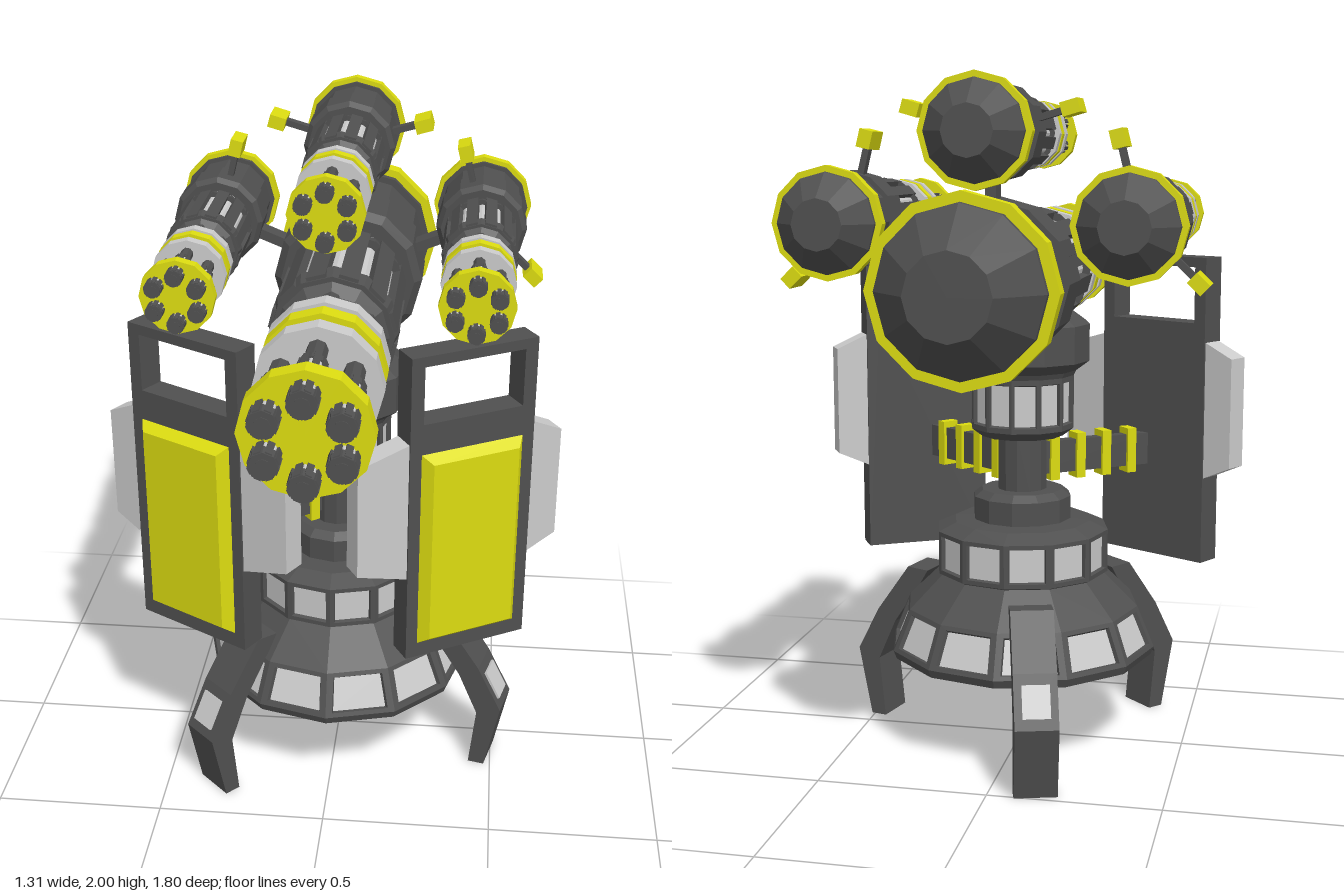
import * as THREE from 'three';

const mat = (color) => new THREE.MeshStandardMaterial({ color, flatShading: true });
const DARK = mat(0x505050), LIGHT = mat(0xcccccc), YELLOW = mat(0xdcdc10);
const RAD = Math.PI / 180;

function add(parent, name, geometry, material, x = 0, y = 0, z = 0) {
  const mesh = new THREE.Mesh(geometry, material);
  mesh.name = name;
  mesh.position.set(x, y, z);
  parent.add(mesh);
  return mesh;
}

function group(parent, name) {
  const g = new THREE.Group();
  g.name = name;
  parent.add(g);
  return g;
}

const box = (w, h, d) => new THREE.BoxGeometry(w, h, d);

// Frustum along z: radius r0 at z0 (rear) to r1 at z1 (front)
const drum = (r0, z0, r1, z1, n = 12) =>
  new THREE.CylinderGeometry(r1, r0, z1 - z0, n).rotateX(Math.PI / 2).translate(0, 0, (z0 + z1) / 2);

// Upright faceted solid from [radius, y] points
const turned = (pts, n = 12) => new THREE.LatheGeometry(pts.map(([r, y]) => new THREE.Vector2(r, y)), n);

function extrude(pts, depth) {
  const shape = new THREE.Shape(pts.map(([x, y]) => new THREE.Vector2(x, y)));
  return new THREE.ExtrudeGeometry(shape, { depth, bevelEnabled: false }).translate(0, 0, -depth / 2);
}

// Band of framed, recessed windows, one on each facet of a frustum
function windowBand(parent, name, r0, y0, r1, y1, n = 12) {
  const frame = [], glass = [];
  const quad = (out, a, b, c, d) => [a, b, c, a, c, d].forEach((p) => out.push(p.x, p.y, p.z));
  for (let i = 0; i < n; i++) {
    const at = (r, y, k) => new THREE.Vector3(r * Math.sin(k * 2 * Math.PI / n), y, r * Math.cos(k * 2 * Math.PI / n));
    const outer = [at(r0, y0, i), at(r0, y0, i + 1), at(r1, y1, i + 1), at(r1, y1, i)];
    const mid = outer.reduce((s, p) => s.add(p), new THREE.Vector3()).multiplyScalar(0.25);
    const inward = outer[1].clone().sub(outer[0]).cross(outer[3].clone().sub(outer[0])).setLength(-0.012);
    const inner = outer.map((p) => p.clone().lerp(mid, 0.2));
    const floor = inner.map((p) => p.clone().lerp(mid, 0.06).add(inward));
    for (let j = 0; j < 4; j++) {
      const k = (j + 1) % 4;
      quad(frame, outer[j], outer[k], inner[k], inner[j]);
      quad(frame, inner[j], inner[k], floor[k], floor[j]);
    }
    quad(glass, ...floor);
  }
  for (const [part, data, m] of [['Frame', frame, DARK], ['Panels', glass, LIGHT]]) {
    const g = new THREE.BufferGeometry();
    g.setAttribute('position', new THREE.Float32BufferAttribute(data, 3));
    g.computeVertexNormals();
    add(parent, name + part, g, m);
  }
}

// Dark ribs standing around a light core, closed by a collar at each end
function flutedDrum(parent, name, r, z0, z1, ribs, collar, sides) {
  const g = group(parent, name);
  add(g, 'core', drum(r * 0.87, z0, r * 0.87, z1, sides), LIGHT);
  add(g, 'rearCollar', drum(r * 0.94, z0 - 0.003, r, z0 + collar, sides), DARK);
  add(g, 'frontCollar', drum(r, z1 - collar, r * 0.94, z1 + 0.003, sides), DARK);
  const width = r * Math.PI / ribs * 1.15;
  for (let i = 0; i < ribs; i++) {
    const a = (i + 0.5) / ribs * 2 * Math.PI;
    const rib = add(g, 'rib', box(width, r * 0.2, z1 - z0), DARK,
      -Math.sin(a) * r * 0.87, Math.cos(a) * r * 0.87, (z0 + z1) / 2);
    rib.rotation.z = a;
  }
  return g;
}

// Six-barrel rotary gun along z, 1.8 long
function rotaryGun(parent, name) {
  const g = group(parent, name);
  const body = [
    ['tailCap', 0.115, -0.9, 0.225, -0.775, DARK],
    ['tailBase', 0.225, -0.775, 0.235, -0.67, DARK],
    ['tailRing', 0.255, -0.76, 0.255, -0.705, YELLOW],
    ['rearHousing', 0.215, -0.67, 0.215, -0.51, DARK],
    ['housingBand', 0.2, -0.515, 0.2, -0.425, LIGHT],
    ['frontHousing', 0.228, -0.475, 0.228, -0.3, DARK],
    ['housingBevel', 0.228, -0.3, 0.205, -0.275, DARK],
    ['neck', 0.16, -0.28, 0.16, -0.22, LIGHT],
    ['shoulder', 0.165, 0.18, 0.13, 0.21, DARK],
    ['spindle', 0.065, 0.2, 0.065, 0.83, DARK],
  ];
  for (const [part, r0, z0, r1, z1, m] of body) add(g, part, drum(r0, z0, r1, z1), m);
  flutedDrum(g, 'flutedBody', 0.187, -0.225, 0.18, 12, 0.055, 12);
  // Clamp plates holding the barrels
  for (const [z, m] of [[0.35, LIGHT], [0.43, YELLOW], [0.525, LIGHT], [0.805, YELLOW]])
    add(g, 'barrelClamp', drum(0.174, z - 0.027, 0.174, z + 0.027), m);
  for (let i = 0; i < 6; i++) {
    const a = i * Math.PI / 3;
    const barrel = group(g, 'barrel');
    barrel.position.set(Math.sin(a) * 0.111, Math.cos(a) * 0.111, 0);
    add(barrel, 'tube', drum(0.029, 0.18, 0.029, 0.66, 8), DARK);
    flutedDrum(barrel, 'muzzle', 0.041, 0.66, 0.895, 8, 0.03, 8);
    add(barrel, 'bore', drum(0.021, 0.89, 0.021, 0.9, 8), DARK);
  }
  return g;
}

// Small gun with two sensor blocks on stalks
function smallGun(parent, name, x, y, roll) {
  const mount = group(parent, name);
  mount.position.set(x, y, -0.15);
  mount.rotation.z = roll;
  rotaryGun(mount, 'gun').scale.setScalar(0.6);
  for (const angle of [16, 164]) {
    const arm = group(mount, 'sensor');
    arm.rotation.z = angle * RAD;
    add(arm, 'stalk', box(0.12, 0.018, 0.03), DARK, 0.16, 0, -0.24);
    add(arm, 'sensorBlock', box(0.05, 0.038, 0.1), YELLOW, 0.228, 0, -0.24);
  }
}

function leg(parent, angle) {
  const g = group(parent, 'leg');
  g.rotation.y = (angle - 90) * RAD;
  add(g, 'strut', extrude([[0.3, 0.5], [0.33, 0.45], [0.42, 0.32], [0.48, 0.19], [0.46, 0], [0.51, 0],
    [0.555, 0.215], [0.48, 0.355], [0.37, 0.505]], 0.125), DARK);
  add(g, 'strutPanel', box(0.095, 0.012, 0.08), LIGHT, 0.519, 0.285, 0).rotation.z = -61.8 * RAD;
}

// Armoured shield; side is +1 on the model's left
function shield(parent, side) {
  const g = group(parent, side > 0 ? 'leftShield' : 'rightShield');
  g.position.set(side * 0.385, 0, 0.28);
  g.rotation.y = side * 30 * RAD;
  // Plate with a window at the top
  const plate = new THREE.Shape([[-0.195, 0.535], [0.195, 0.535], [0.195, 1.48], [-0.195, 1.48]].map((p) => new THREE.Vector2(...p)));
  plate.holes.push(new THREE.Path([[-0.155, 1.28], [-0.155, 1.45], [0.155, 1.45], [0.155, 1.28]].map((p) => new THREE.Vector2(...p))));
  add(g, 'plate', new THREE.ExtrudeGeometry(plate, { depth: 0.08, bevelEnabled: false }).translate(0, 0, -0.04), DARK);
  // Raised panel with bevelled sides
  const panel = box(0.32, 0.61, 0.03), p = panel.attributes.position;
  for (let i = 0; i < p.count; i++)
    if (p.getZ(i) > 0) p.setXY(i, p.getX(i) * 0.84, p.getY(i) * 0.92);
  panel.computeVertexNormals();
  add(g, 'frontPanel', panel, YELLOW, 0, 0.885, 0.054);
  // Tapered wings on both edges
  for (const [end, sign] of [[0.29, side], [0.35, -side]]) {
    const pts = [[0.19, 0.8], [end, 0.845], [end, 1.18], [0.19, 1.225]].map(([x, y]) => [x * sign, y]);
    add(g, 'wing', extrude(pts, 0.07), LIGHT);
  }
}

// Banded arm between column and shield
function shieldArm(parent, side) {
  const g = group(parent, 'shieldArm');
  g.rotation.y = side * 52 * RAD;
  add(g, 'armBar', box(0.035, 0.1, 0.44), DARK, 0, 0.872, 0.22);
  for (let i = 0; i < 4; i++) add(g, 'armBand', box(0.055, 0.14, 0.03), YELLOW, 0, 0.872, 0.1 + i * 0.09);
}

export function createModel() {
  const model = new THREE.Group();
  model.name = 'turret';

  // Base dome and stepped pedestal
  const base = group(model, 'base');
  add(base, 'baseSkirt', turned([[0, 0.28], [0.4, 0.28], [0.41, 0.305]]), DARK);
  windowBand(base, 'baseWindow', 0.41, 0.305, 0.358, 0.43);
  add(base, 'dome', turned([[0.358, 0.43], [0.255, 0.53], [0.265, 0.535]]), DARK);
  windowBand(base, 'pedestalWindow', 0.265, 0.535, 0.265, 0.665);
  add(base, 'pedestalTop', turned([[0.265, 0.665], [0.21, 0.69], [0.15, 0.695], [0.15, 0.765], [0.125, 0.785], [0, 0.785]]), DARK);
  for (const angle of [76, 196, 316]) leg(base, angle);

  // Column, swivel and gun cradle
  const column = group(model, 'column');
  add(column, 'post', turned([[0.075, 0.78], [0.075, 0.96]]), DARK);
  add(column, 'swivelBottom', turned([[0, 0.95], [0.125, 0.95], [0.158, 0.975]]), DARK);
  windowBand(column, 'swivelWindow', 0.158, 0.975, 0.158, 1.135);
  add(column, 'cradle', turned([[0.158, 1.135], [0.165, 1.15], [0.205, 1.18], [0.205, 1.29], [0.15, 1.33], [0, 1.33]]), DARK);

  for (const side of [1, -1]) {
    shieldArm(model, side);
    shield(model, side);
  }

  // Main gun with three small guns around it
  const guns = group(model, 'guns');
  rotaryGun(guns, 'mainGun').position.y = 1.445;
  smallGun(guns, 'topGun', 0, 1.847, 0);
  smallGun(guns, 'leftGun', 0.402, 1.607, -60 * RAD);
  smallGun(guns, 'rightGun', -0.402, 1.607, 60 * RAD);
  for (const angle of [22, 90, 158]) {
    const strut = group(guns, 'gunStrut');
    strut.position.set(0, 1.445, -0.39);
    strut.rotation.z = angle * RAD;
    add(strut, 'strutBar', box(0.2, 0.03, 0.06), DARK, 0.27, 0, 0);
  }
  return model;
}
